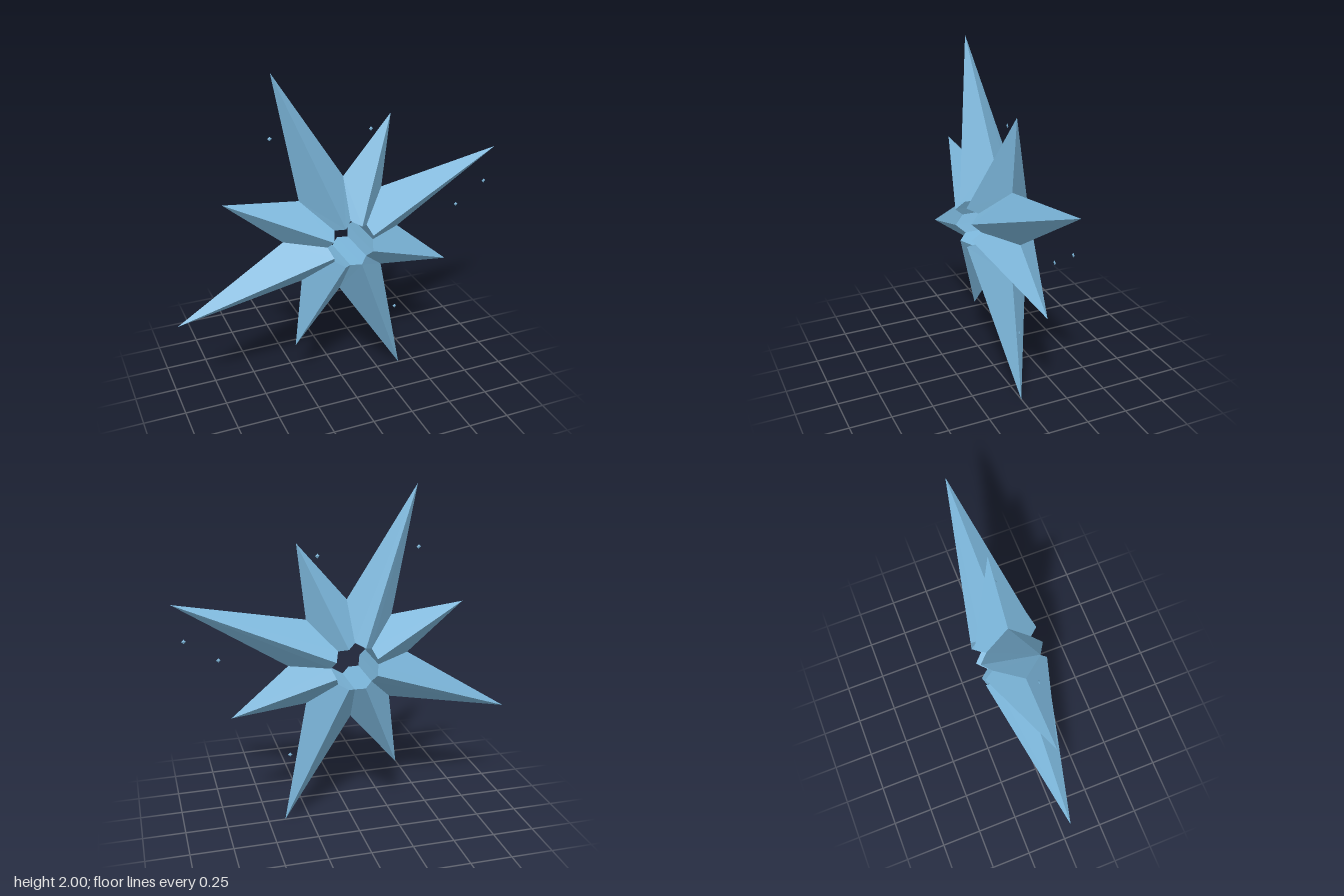
import * as THREE from 'three';

const CENTER_Y = 1;
const DEG = Math.PI / 180;

// Point at polar position (radius, degrees) around the star's centre
const polar = (r, deg, z = 0) => [r * Math.cos(deg * DEG), CENTER_Y + r * Math.sin(deg * DEG), z];
const back = ([x, y, z]) => [x, y, -z];

// One ray: two facets on the front, two on the back, and its share of the hole wall
function rayGeometry(index) {
  const long = index % 2 === 0;
  const turn = index * 45;
  const tip = polar(long ? 1.077 : 0.76, turn + (long ? 21.8 : 66.8 - 45));
  const valleyA = polar(0.36, turn + (long ? -1.8 : 0.8));
  const valleyB = polar(0.36, turn + (long ? 45.8 : 43.2));
  const ridge = polar(0.13, turn + 22.5, 0.19);
  const holeA = polar(0.14, turn, 0.137);
  const holeB = polar(0.14, turn + 45, 0.137);

  const quads = [
    [ridge, holeA, valleyA, tip],
    [ridge, tip, valleyB, holeB],
  ];
  quads.push(...quads.map((q) => q.map(back).reverse()));
  quads.push([holeA, ridge, back(ridge), back(holeA)], [ridge, holeB, back(holeB), back(ridge)]);

  const positions = quads.flatMap(([a, b, c, d]) => [a, b, c, a, c, d]).flat();
  const geometry = new THREE.BufferGeometry();
  geometry.setAttribute('position', new THREE.Float32BufferAttribute(positions, 3));
  geometry.computeVertexNormals();
  return geometry;
}

export function createModel() {
  const model = new THREE.Group();
  model.name = 'star';
  const blue = new THREE.MeshStandardMaterial({ color: 0x7ab4d8, flatShading: true });
  blue.name = 'steel blue';

  // Eight rays, long and short in turn, around an octagonal hole
  for (let i = 0; i < 8; i++) {
    const ray = new THREE.Mesh(rayGeometry(i), blue);
    ray.name = i % 2 === 0 ? 'longRay' : 'shortRay';
    model.add(ray);
  }

  // Tiny flat sparkles floating between the rays
  const sparkleGeometry = new THREE.OctahedronGeometry(1).scale(0.013, 0.013, 0.005);
  for (const [x, y] of [[-0.415, 1.64], [0.18, 1.62], [0.94, 1.185], [0.755, 1.06], [0.36, 0.43]]) {
    const sparkle = new THREE.Mesh(sparkleGeometry, blue);
    sparkle.name = 'sparkle';
    sparkle.position.set(x, y, 0);
    model.add(sparkle);
  }
  return model;
}
